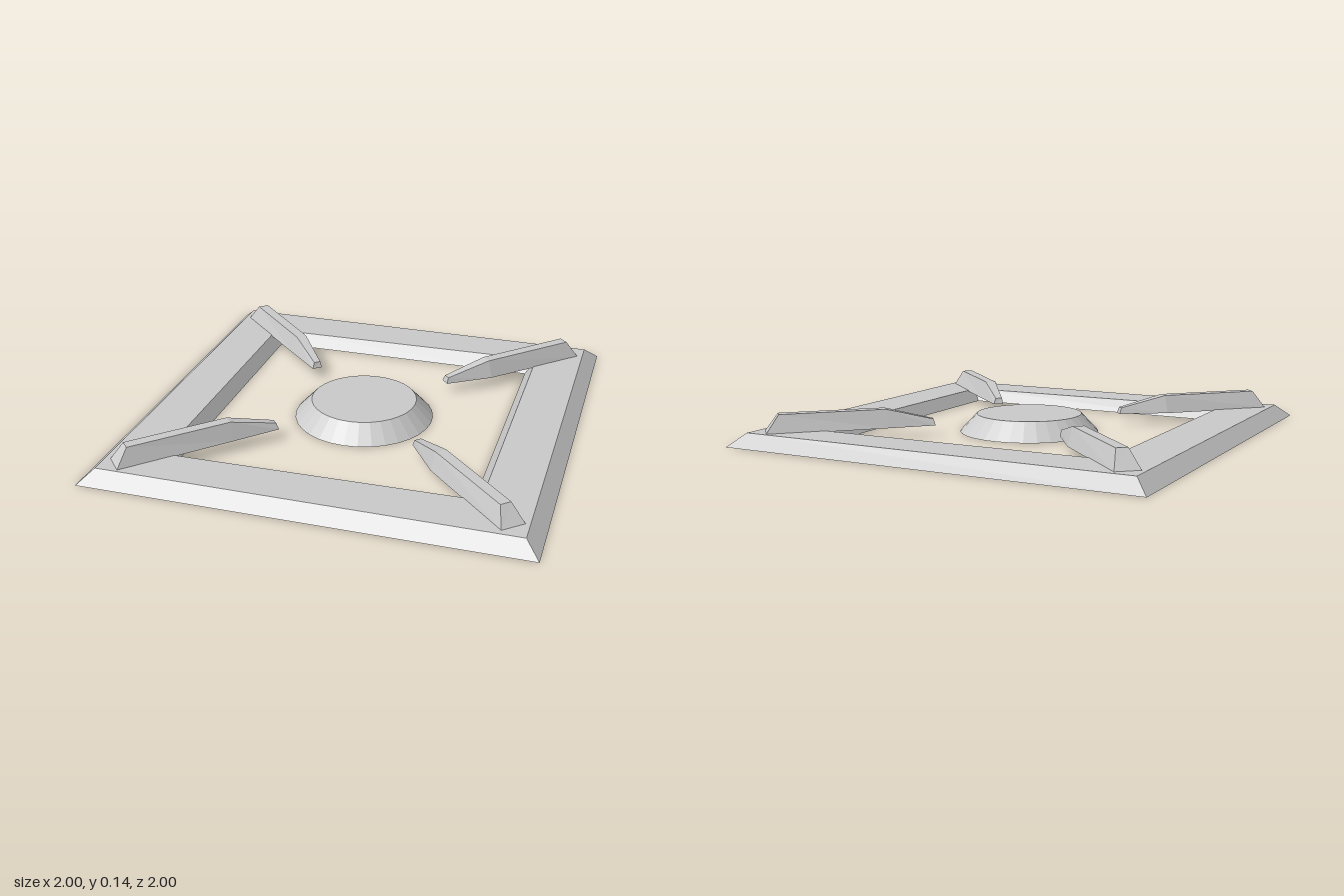
import * as THREE from 'three';

const material = new THREE.MeshStandardMaterial({
  color: 0xcccccc, flatShading: true, side: THREE.DoubleSide,
});

// Flat-shaded skin over a row of four-cornered sections, with optional end caps.
function loft(sections, { flip = false, caps = false } = {}) {
  const positions = [];
  const quad = (a, b, c, d) => {
    const order = flip ? [a, c, b, a, d, c] : [a, b, c, a, c, d];
    order.forEach((p) => positions.push(...p));
  };
  for (let i = 0; i < sections.length - 1; i++) {
    for (let k = 0; k < 4; k++) {
      const n = (k + 1) % 4;
      quad(sections[i][k], sections[i][n], sections[i + 1][n], sections[i + 1][k]);
    }
  }
  if (caps) {
    quad(...[...sections[0]].reverse());
    quad(...sections[sections.length - 1]);
  }
  const geometry = new THREE.BufferGeometry();
  geometry.setAttribute('position', new THREE.Float32BufferAttribute(positions, 3));
  geometry.computeVertexNormals();
  return geometry;
}

function addMesh(parent, name, geometry) {
  const mesh = new THREE.Mesh(geometry, material);
  mesh.name = name;
  parent.add(mesh);
  return mesh;
}

export function createModel() {
  const model = new THREE.Group();
  model.name = 'burner';

  // Square frame: sloped rims and a flat top, open underneath, slightly out of true
  const ring = (x, a, b, y) => [[-x, y, -a], [x, y, -b], [x, y, a], [-x, y, b]];
  addMesh(model, 'frame', loft([
    ring(1, 1, 0.993, 0),
    ring(0.935, 0.936, 0.926, 0.06),
    ring(0.711, 0.711, 0.727, 0.06),
    ring(0.666, 0.666, 0.666, 0),
  ], { flip: true }));

  // Burner cap: closed truncated cone
  const cap = addMesh(model, 'burnerCap', new THREE.CylinderGeometry(0.25, 0.33, 0.085, 32));
  cap.position.y = 0.0425;

  // Pan supports: each section is bottom left, bottom right, top right, top left
  const base = 0.056;
  const section = (bl, br, tr, tl, y) => [
    [bl[0], base, bl[1]], [br[0], base, br[1]], [tr[0], y, tr[1]], [tl[0], y, tl[1]],
  ];
  const support = loft([
    section([-0.918, -0.836], [-0.832, -0.912], [-0.812, -0.85], [-0.85, -0.815], 0.14),
    section([-0.525, -0.455], [-0.455, -0.53], [-0.47, -0.51], [-0.507, -0.475], 0.14),
    section([-0.362, -0.3], [-0.324, -0.332], [-0.334, -0.336], [-0.358, -0.314], 0.085),
  ], { caps: true });
  for (let i = 0; i < 4; i++) {
    addMesh(model, 'panSupport' + (i + 1), support).rotation.y = i * Math.PI / 2;
  }

  return model;
}
